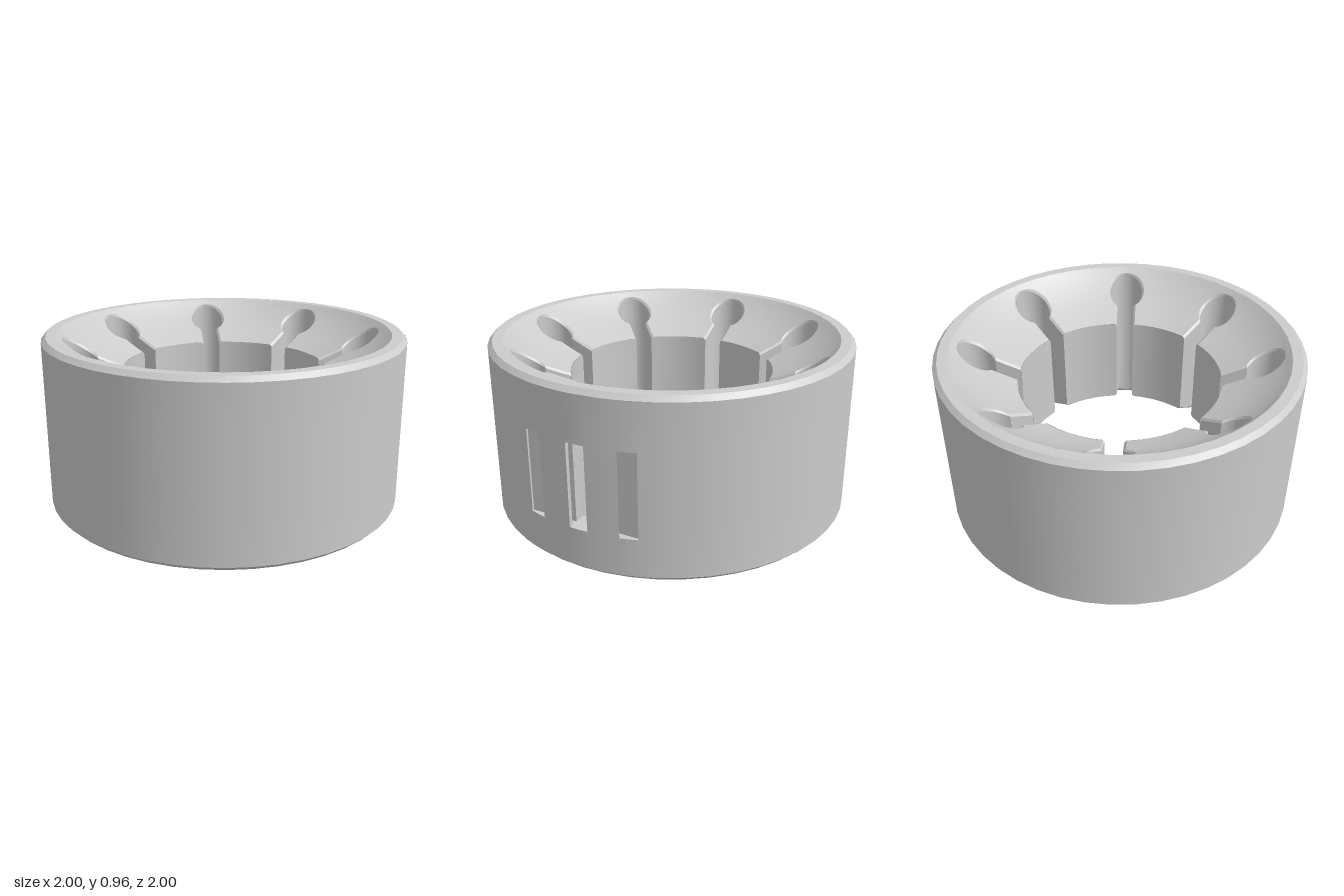
import * as THREE from 'three';
import { mergeGeometries, toCreasedNormals } from 'three/addons/utils/BufferGeometryUtils.js';

const H = 0.96, BORE = 0.565, RIM = 0.92, SECTOR = Math.PI / 8, BEVEL = 0.012;
const WIN_LOW = 0.23, WIN_HIGH = 0.685;

const polar = (r, t, y) => [r * Math.cos(t), y, -r * Math.sin(t)];

// Height of the flared upper face of the teeth at radius r
function flare(r) {
  const u = Math.min(1, (r - BORE) / (RIM - BORE));
  return 0.75 + (H - 0.75) * (0.7 * u + 0.3 * u ** 3);
}

// Quad grid: point(i, j) gives a corner, skip(i, j) leaves a cell open
function grid(nu, nv, point, flip = false, skip = () => false) {
  const pos = [], index = [];
  for (let i = 0; i <= nu; i++) for (let j = 0; j <= nv; j++) pos.push(...point(i, j));
  for (let i = 0; i < nu; i++) for (let j = 0; j < nv; j++) {
    if (skip(i, j)) continue;
    const a = i * (nv + 1) + j, b = a + nv + 1, c = b + 1, d = a + 1;
    if (flip) index.push(a, c, b, a, d, c);
    else index.push(a, b, c, a, c, d);
  }
  const g = new THREE.BufferGeometry();
  g.setAttribute('position', new THREE.Float32BufferAttribute(pos, 3));
  g.setIndex(index);
  return g;
}

const quad = (a, b, c, d) => grid(1, 1, (i, j) => (i ? (j ? c : b) : (j ? d : a)));

function createModel() {
  const group = new THREE.Group();
  const material = new THREE.MeshStandardMaterial({ color: 0xcccccc, side: THREE.DoubleSide });
  const add = (name, parts) => {
    const mesh = new THREE.Mesh(toCreasedNormals(mergeGeometries(parts), 0.45), material);
    mesh.name = name;
    group.add(mesh);
  };

  // Outer wall with three windows on the +x side
  const edges = [0.05, 0.214, 0.305].map(Math.asin);
  const angles = [...edges, ...edges.map((a) => -a)];
  for (let i = 0; i < 48; i++) angles.push(-Math.PI + i * Math.PI / 24);
  angles.push(Math.PI);
  angles.sort((a, b) => a - b);
  const levels = [0.025, WIN_LOW, WIN_HIGH, H - 0.025];
  const inWindow = (i, j) => {
    const m = Math.abs(angles[i] + angles[i + 1]) / 2;
    return j === 1 && (m < edges[0] || (m > edges[1] && m < edges[2]));
  };
  add('outerWall', [grid(angles.length - 1, 3, (i, j) => polar(1, angles[i], levels[j]), false, inWindow)]);

  // Bevelled rims, top and bottom
  const rim = [[1, H - 0.025], [0.975, H], [RIM, H]];
  for (const top of [true, false]) {
    add(top ? 'topRim' : 'bottomRim', [grid(48, 2, (i, j) =>
      polar(rim[j][0], i * Math.PI / 24, top ? rim[j][1] : H - rim[j][1]), !top)]);
  }

  // Half of a keyhole slot, from the bore out to the rim: [distance, half width]
  const outline = [[BORE, 0.05], [0.61, 0.05], [0.66, 0.05]];
  for (let k = 0; k <= 8; k++) {
    const a = Math.PI * (5 / 6 - k / 12);
    outline.push([0.79 + 0.1 * Math.cos(a), 0.1 * Math.sin(a)]);
  }
  outline.push([0.79 + 0.1 * Math.cos(0.26), 0.1 * Math.sin(0.26)], [0.89, 0], [0.905, 0], [RIM, 0]);
  const rows = outline.map(([x, w]) => ({ r: Math.hypot(x, w), t: Math.atan2(w, x), w }));
  const HOLE_END = 13;

  // Eight teeth as mirrored halves, with slot walls, flared faces and bore
  const faces = [], slots = [], bores = [];
  for (let n = 0; n < 8; n++) for (const s of [1, -1]) {
    const base = n * Math.PI / 4, mirrored = s < 0;
    const column = (row, j) => {
      const t0 = row.t, t1 = t0 + BEVEL / row.r;
      return j === 0 ? t0 : t1 + (SECTOR - t1) * (j - 1) / 4;
    };
    const height = (row, j) => flare(row.r) - (j === 0 && row.w > 0 ? BEVEL : 0);
    for (const top of [true, false]) {
      faces.push(grid(rows.length - 1, 5, (i, j) => {
        const y = height(rows[i], j);
        return polar(rows[i].r, base + s * column(rows[i], j), top ? y : H - y);
      }, mirrored === top));
    }
    slots.push(grid(HOLE_END, 3, (i, j) => {
      const y = height(rows[i], 0);
      return polar(rows[i].r, base + s * rows[i].t, [H - y, WIN_LOW, WIN_HIGH, y][j]);
    }, mirrored, (i, j) => n === 0 && j === 1 && i >= 11));
    bores.push(grid(5, 1, (i, j) => {
      const y = height(rows[0], i);
      return polar(BORE, base + s * column(rows[0], i), j ? y : H - y);
    }, !mirrored));
  }
  add('toothFaces', faces);
  add('keyholeSlotWalls', slots);
  add('boreWalls', bores);

  // Flat pocket behind the windows; the middle window runs on into the slot
  const IN = 0.94, OUT = 0.975, DEEP = 0.877, pocket = [];
  const wall = (x0, z0, x1, z1) => pocket.push(quad(
    [x0, WIN_LOW, z0], [x1, WIN_LOW, z1], [x1, WIN_HIGH, z1], [x0, WIN_HIGH, z0]));
  for (const s of [1, -1]) {
    wall(IN, s * 0.05, IN, s * 0.305);
    wall(OUT, s * 0.05, OUT, s * 0.214);
    wall(IN, s * 0.305, 0.952, s * 0.305);
    wall(DEEP, s * 0.05, IN, s * 0.05);
    wall(OUT, s * 0.05, 0.998, s * 0.05);
  }
  // Floor and ceiling of the pocket and tunnel
  const zs = [-0.305, -0.26, -0.214, -0.05, 0.05, 0.214, 0.26, 0.305];
  for (const y of [WIN_LOW, WIN_HIGH]) {
    const up = y === WIN_LOW;
    pocket.push(grid(7, 1, (i, j) => [
      j ? Math.min(OUT, Math.sqrt(1 - zs[i] ** 2)) : IN, y, zs[i]], !up));
    pocket.push(grid(1, 1, (i, j) => [j ? IN : DEEP, y, i ? 0.05 : -0.05], !up));
    pocket.push(grid(1, 1, (i, j) => [j ? 0.998 : OUT, y, i ? 0.05 : -0.05], !up));
  }
  add('windowPocket', pocket);

  return group;
}

export { createModel };
